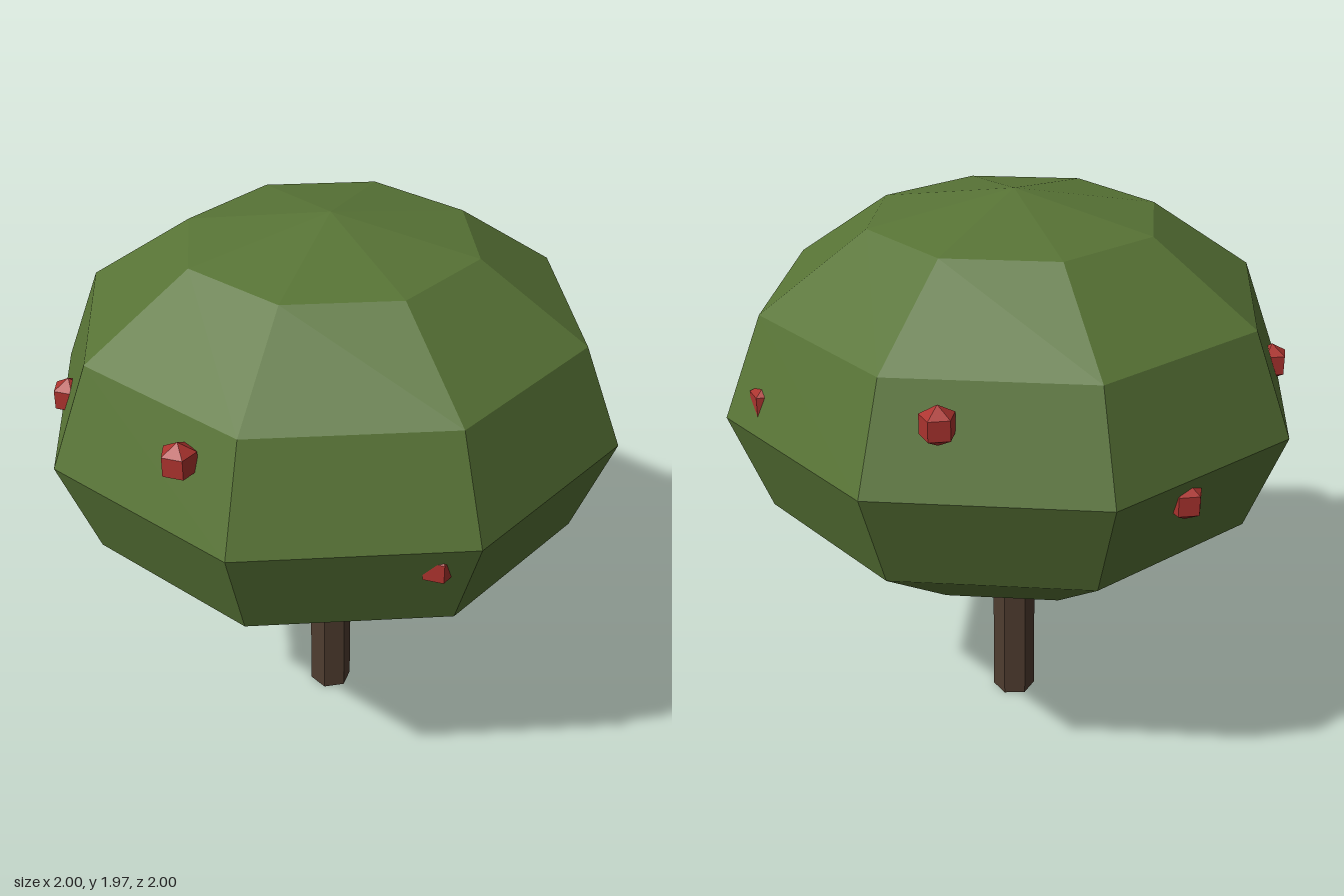
import * as THREE from 'three';

function material(name, color) {
  const m = new THREE.MeshStandardMaterial({ color });
  m.name = name;
  return m;
}

// Faceted part: unshared vertices give flat normals
function part(name, geometry, mat, x, y, z) {
  const flat = geometry.toNonIndexed();
  flat.computeVertexNormals();
  const mesh = new THREE.Mesh(flat, mat);
  mesh.name = name;
  mesh.position.set(x, y, z);
  return mesh;
}

export function createModel() {
  const tree = new THREE.Group();
  tree.name = 'fruitTree';
  const leafGreen = material('leafGreen', 0x587436);
  const barkBrown = material('barkBrown', 0x4e3c2f);
  const fruitRed = material('fruitRed', 0xab332e);

  // Six-sided trunk, ending inside the crown
  tree.add(part('trunk', new THREE.CylinderGeometry(0.077, 0.077, 0.7, 6), barkBrown, 0, 0.35, 0));

  // Squashed eight-sided crown
  const crown = new THREE.SphereGeometry(1, 8, 6).scale(1, 0.695, 1);
  tree.add(part('crown', crown, leafGreen, 0, 1.275, 0));

  // Five-sided fruits half sunk into the crown, spaced around it
  const fruits = new THREE.Group();
  fruits.name = 'fruits';
  const fruitShape = new THREE.SphereGeometry(0.066, 5, 3).rotateY(-Math.PI / 2);
  const spots = [
    [0.568, 1.18, 0.69],
    [-0.19, 1.51, 0.866],
    [-0.797, 1.36, 0.395],
    [-0.8, 1.185, -0.385],
    [-0.2, 1.51, -0.863],
    [0.54, 1.365, -0.697],
  ];
  for (const [x, y, z] of spots) fruits.add(part('fruit', fruitShape, fruitRed, x, y, z));
  tree.add(fruits);

  return tree;
}
